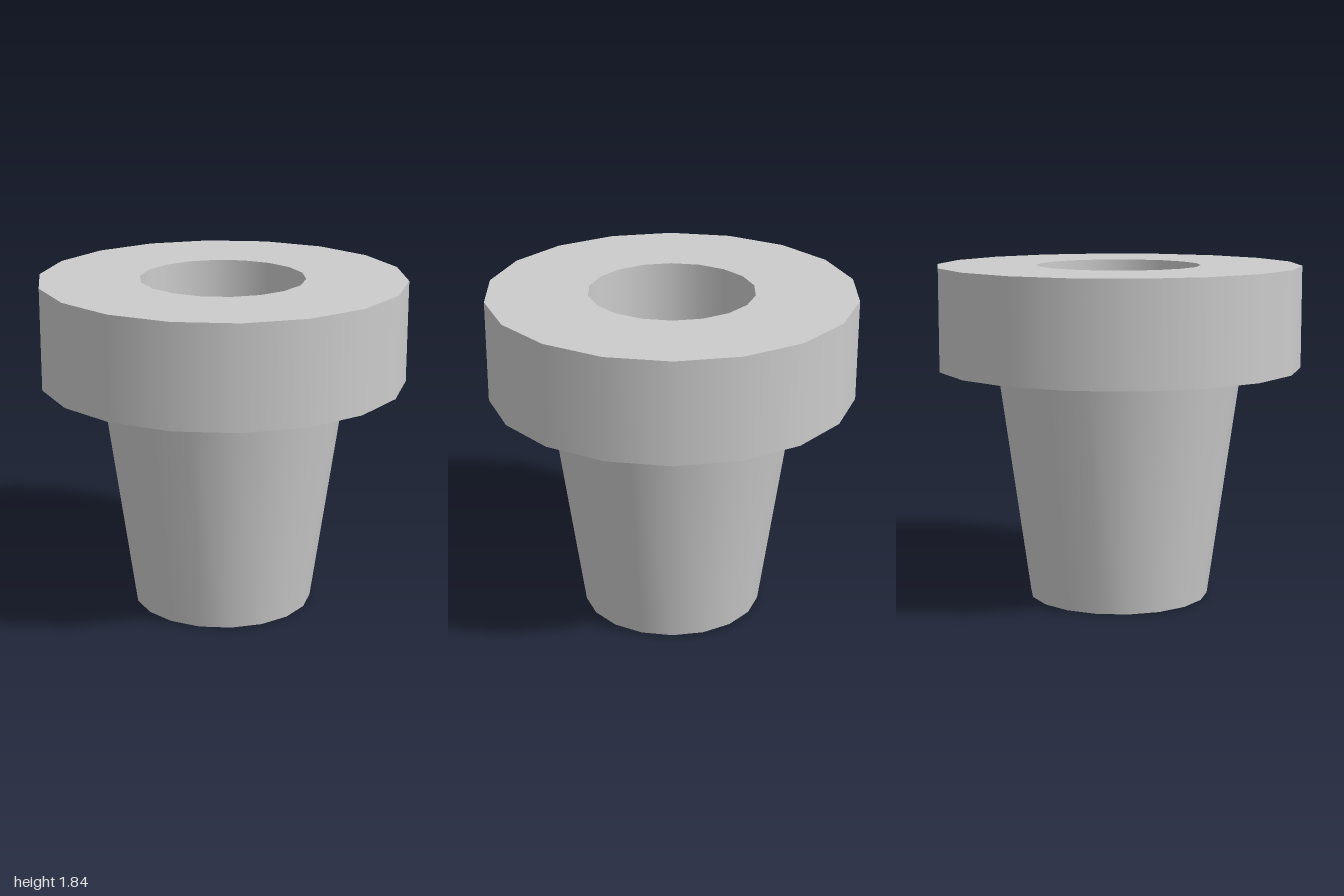
import * as THREE from 'three';

const SIDES = 18;

export function createModel() {
  const group = new THREE.Group();
  group.name = 'flangedBushing';
  const material = new THREE.MeshStandardMaterial({ color: 0xcccccc });

  // Closed profile [radius, height]: up the outside, down the bore
  const profile = [
    ['taperedSleeve', 0.497, 0],
    ['flangeUnderside', 0.677, 1.28],
    ['flangeRim', 1, 1.28],
    ['flangeTop', 1, 1.837],
    ['bore', 0.45, 1.837],
    ['sleeveEnd', 0.442, 0],
  ];

  // One band per profile edge, so sides shade smoothly and rims stay sharp
  profile.forEach(([name, r, y], i) => {
    const [, r2, y2] = profile[(i + 1) % profile.length];
    const points = [new THREE.Vector2(r, y), new THREE.Vector2(r2, y2)];
    const band = new THREE.Mesh(new THREE.LatheGeometry(points, SIDES, Math.PI / 2), material);
    band.name = name;
    group.add(band);
  });

  return group;
}
